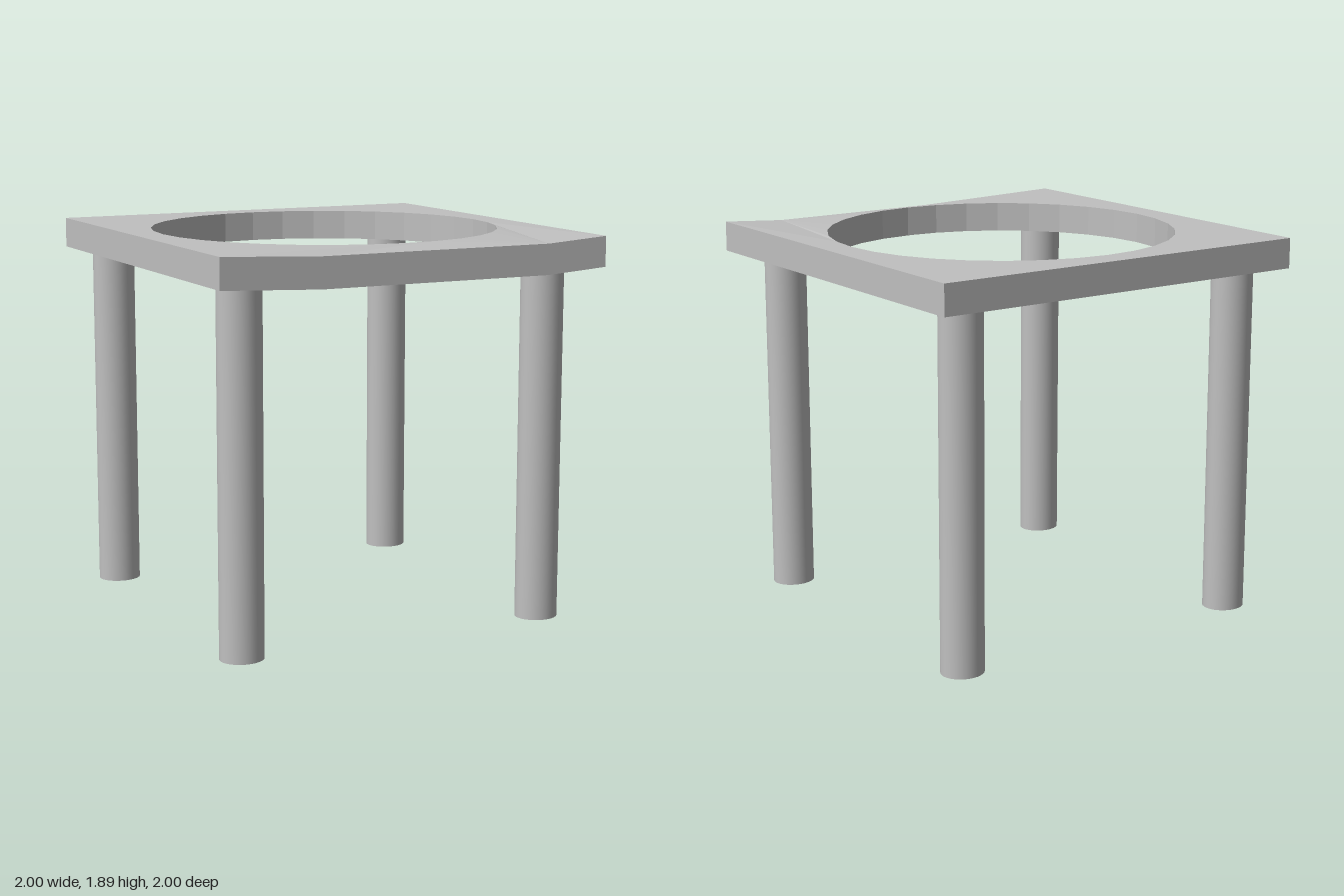
import * as THREE from 'three';

const TOP_Y = 1.892, THICK = 0.148, SAG = 0.022;

export function createModel() {
  const group = new THREE.Group();
  const grey = new THREE.MeshStandardMaterial({ color: 0xc0c0c0 });
  grey.name = 'grey';

  // Square table top with a round opening; two extra points along the front edge
  const outline = new THREE.Shape([
    [-1, -1], [-0.5, -1], [0.68, -1], [1, -1], [1, 1], [-1, 1],
  ].map(([x, y]) => new THREE.Vector2(x, y)));
  const opening = new THREE.Path();
  opening.absarc(0, 0, 0.858, 0, Math.PI * 2, true);
  outline.holes.push(opening);
  const slab = new THREE.ExtrudeGeometry(outline, { depth: THICK, bevelEnabled: false, curveSegments: 16 });
  slab.rotateX(-Math.PI / 2);
  slab.translate(0, TOP_Y - THICK, 0);

  // The front edge sags slightly between its corners
  const pos = slab.attributes.position;
  for (let i = 0; i < pos.count; i++) {
    if (pos.getZ(i) > 0.99 && Math.abs(pos.getX(i)) < 0.9) pos.setY(i, pos.getY(i) - SAG);
  }
  slab.computeVertexNormals();
  const top = new THREE.Mesh(slab, grey);
  top.name = 'tableTop';
  group.add(top);

  // Four slightly oval legs
  const legHeight = TOP_Y - THICK + 0.005;
  const legGeometry = new THREE.CylinderGeometry(1, 1, legHeight, 32);
  legGeometry.scale(0.107, 1, 0.097);
  for (const [side, x] of [['Right', -0.818], ['Left', 0.777]]) {
    for (const [end, z] of [['front', 0.795], ['back', -0.793]]) {
      const leg = new THREE.Mesh(legGeometry, grey);
      leg.name = `${end}${side}Leg`;
      leg.position.set(x, legHeight / 2, z);
      group.add(leg);
    }
  }
  return group;
}
